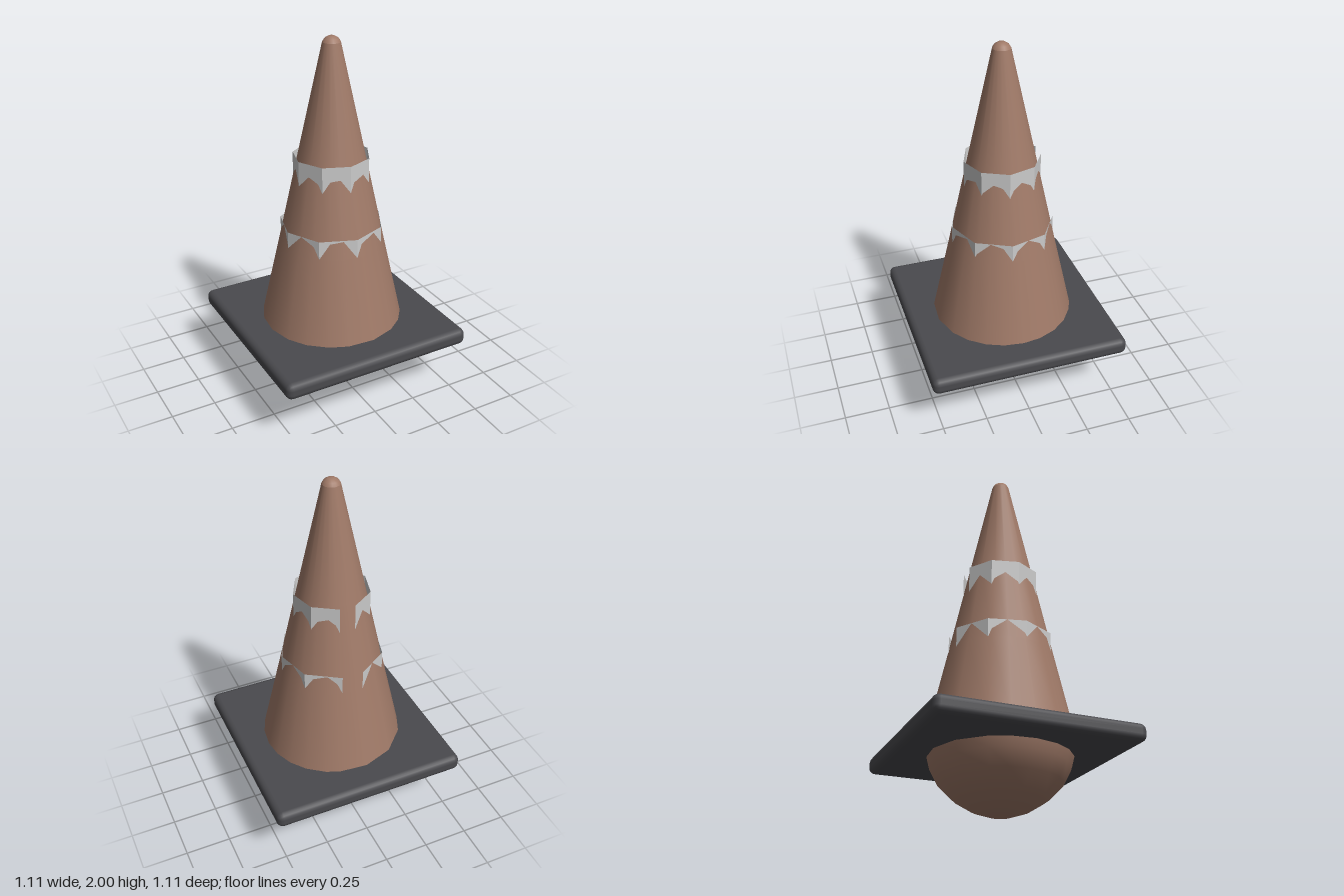
import * as THREE from 'three';
import { RoundedBoxGeometry } from 'three/addons/geometries/RoundedBoxGeometry.js';

const rad = THREE.MathUtils.degToRad;

// Lathe whose columns sit at uneven angles (degrees from +z), for a hand-cut look
function unevenLathe(profile, angles) {
  const n = angles.length;
  const geo = new THREE.LatheGeometry(profile.map(([x, y]) => new THREE.Vector2(x, y)), n);
  const axis = new THREE.Vector3(0, 1, 0), v = new THREE.Vector3();
  for (let i = 0; i <= n; i++) {
    const turn = rad(angles[i % n] - (i % n) * 360 / n);
    for (let j = 0; j < profile.length; j++) {
      const k = i * profile.length + j;
      for (const attr of [geo.attributes.position, geo.attributes.normal]) {
        v.fromBufferAttribute(attr, k).applyAxisAngle(axis, turn);
        attr.setXYZ(k, v.x, v.y, v.z);
      }
    }
  }
  return geo;
}

export function createModel() {
  const group = new THREE.Group();
  const brown = new THREE.MeshStandardMaterial({ color: 0xa07a68 });
  const dark = new THREE.MeshStandardMaterial({ color: 0x4a4a4e });
  const grey = new THREE.MeshStandardMaterial({ color: 0xcccccc, flatShading: true, side: THREE.DoubleSide });

  const add = (name, geo, mat, y = 0) => {
    const mesh = new THREE.Mesh(geo, mat);
    mesh.name = name;
    mesh.position.y = y;
    group.add(mesh);
  };

  const angles = [7, 28.5, 44, 59.5, 74, 90, 104.5, 120, 135, 151.5,
    162.5, 186, 212, 238, 255, 274, 294, 311, 329.5, 345];

  // Rounded belly below the plate
  add('roundedUnderside', unevenLathe([
    [0, 0], [0.07, 0.004], [0.16, 0.035], [0.25, 0.09], [0.325, 0.165],
    [0.37, 0.25], [0.39, 0.33], [0.396, 0.39],
  ], angles), brown);

  // Tapering body with a small blunt tip
  add('coneBody', unevenLathe([
    [0.396, 0.39], [0.289, 0.87], [0.182, 1.36], [0.048, 1.97],
  ], angles), brown);
  add('coneTip', unevenLathe([[0.048, 1.97], [0.038, 1.987], [0.018, 2], [0, 2]], angles), brown);

  // Square plate
  add('basePlate', new RoundedBoxGeometry(1.11, 0.095, 1.11, 2, 0.035), dark, 0.3475);

  // Open bands: eight flat panels with a gap at the back
  for (const [name, radius, top, height] of [
    ['upperBand', 0.21, 1.365, 0.15],
    ['lowerBand', 0.285, 0.975, 0.15],
  ]) {
    add(name, new THREE.CylinderGeometry(radius, radius, height, 8, 1, true, rad(-168), rad(336)),
      grey, top - height / 2);
  }
  return group;
}
